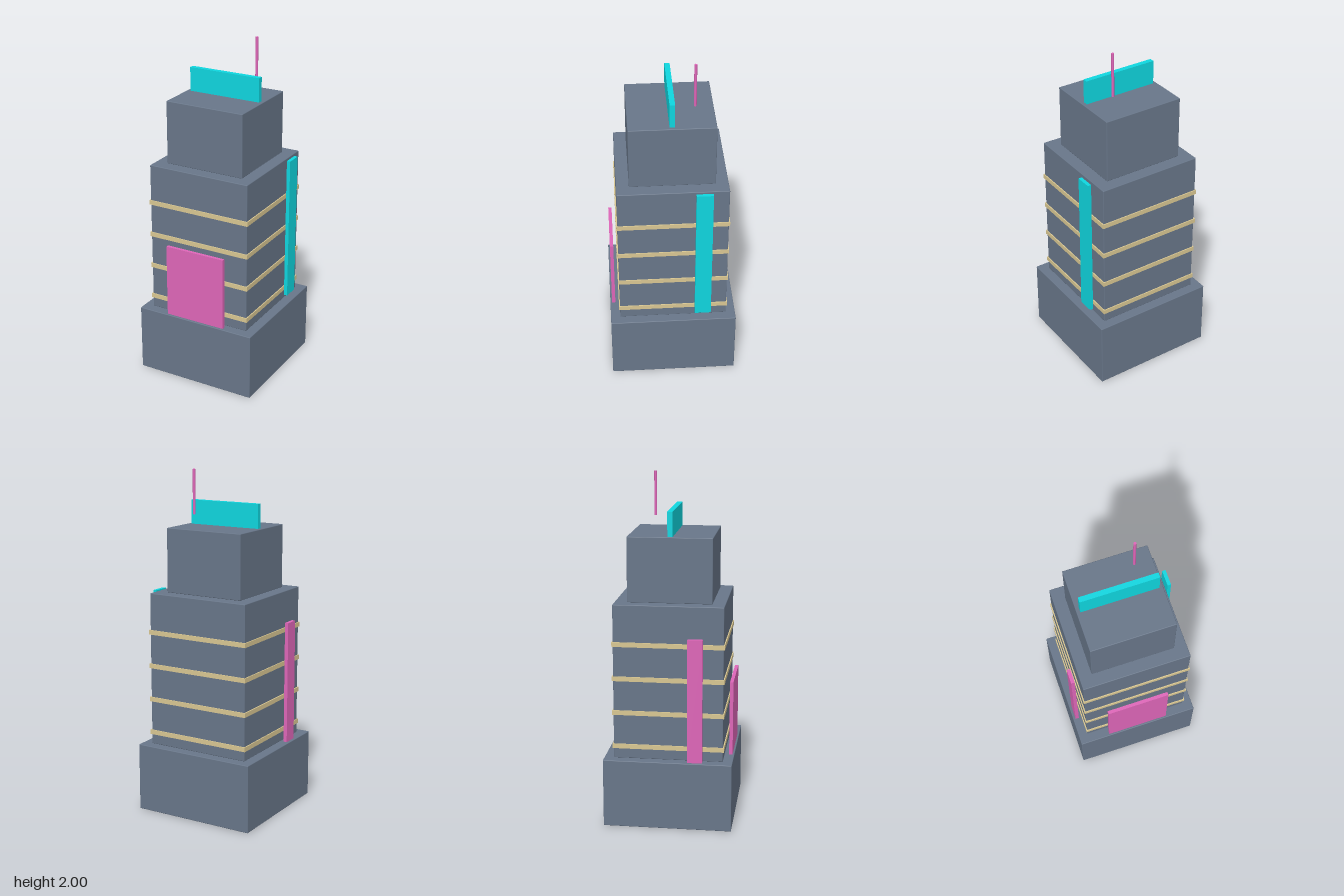
import * as THREE from 'three';
import { RoundedBoxGeometry } from 'three/addons/geometries/RoundedBoxGeometry.js';

const paint = (color) => new THREE.MeshStandardMaterial({ color });

export function createModel() {
  const group = new THREE.Group();
  const slate = paint(0x687689);
  const tan = paint(0xd9c792);
  const cyan = paint(0x0fd6df);
  const pink = paint(0xde66b8);

  function add(name, geometry, material, x, y, z) {
    const mesh = new THREE.Mesh(geometry, material);
    mesh.name = name;
    mesh.position.set(x, y, z);
    group.add(mesh);
  }

  // Stacked tower blocks with finely eased edges: [name, width, bottom, top]
  const tiers = [
    ['base', 0.74, 0, 0.4],
    ['middleTier', 0.628, 0.4, 1.3],
    ['topTier', 0.484, 1.3, 1.672],
  ];
  for (const [name, width, bottom, top] of tiers) {
    const block = new RoundedBoxGeometry(width, top - bottom, width, 2, 0.004);
    add(name, block, slate, 0, (bottom + top) / 2, 0);
  }

  // Ledge bands around the middle tier
  for (let i = 0; i < 4; i++) {
    add(`ledgeBand${i + 1}`, new THREE.BoxGeometry(0.64, 0.027, 0.64), tan, 0, 0.472 + i * 0.2, 0);
  }

  // Sign panels standing off the walls and on the roof
  add('frontSign', new THREE.BoxGeometry(0.372, 0.436, 0.02), pink, 0, 0.62, 0.35);
  add('leftSign', new THREE.BoxGeometry(0.021, 0.86, 0.095), cyan, 0.343, 0.87, -0.173);
  add('rightSign', new THREE.BoxGeometry(0.021, 0.72, 0.086), pink, -0.344, 0.76, 0.156);
  add('roofSign', new THREE.BoxGeometry(0.443, 0.141, 0.03), cyan, 0, 1.741, 0);

  // Roof antenna
  add('antenna', new THREE.CylinderGeometry(0.008, 0.008, 0.255, 12), pink, 0.128, 1.8725, -0.13);

  return group;
}
